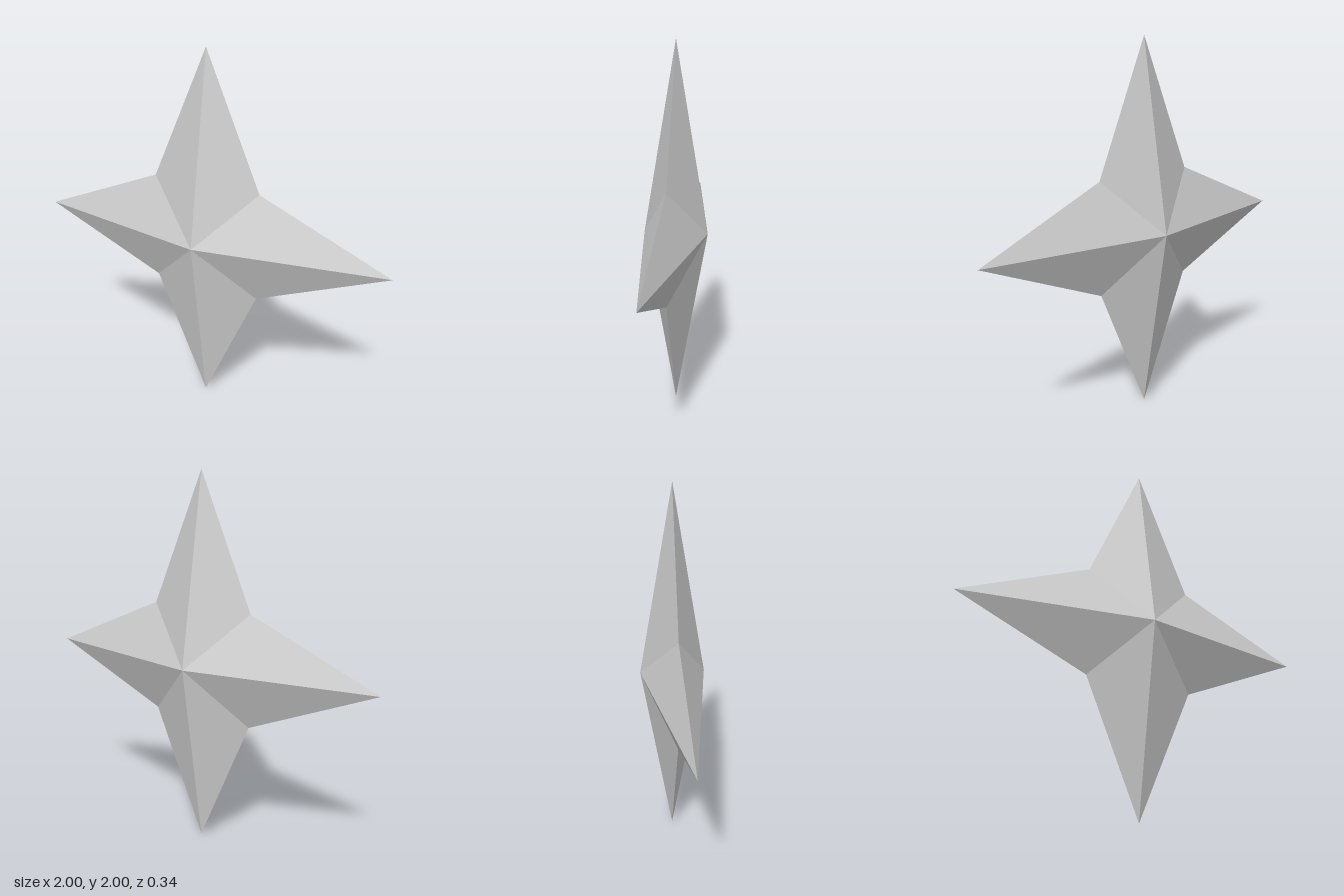
import * as THREE from 'three';

const TIP = 1;         // distance from centre to each spike tip
const NOTCH = 0.3;     // x and y offset of the notches between spikes
const HALF_DEPTH = 0.17;

// One faceted half: a fan from the raised centre to the star outline
function starHalf(side) {
  const rim = [];
  for (let i = 0; i < 8; i++) {
    const angle = (i * Math.PI) / 4;
    const radius = i % 2 ? NOTCH * Math.SQRT2 : TIP;
    rim.push([Math.cos(angle) * radius, Math.sin(angle) * radius, 0]);
  }
  const positions = [];
  rim.forEach((point, i) => {
    const next = rim[(i + 1) % rim.length];
    const edge = side > 0 ? [point, next] : [next, point];
    positions.push(0, 0, side * HALF_DEPTH, ...edge[0], ...edge[1]);
  });
  const geometry = new THREE.BufferGeometry();
  geometry.setAttribute('position', new THREE.Float32BufferAttribute(positions, 3));
  geometry.computeVertexNormals();
  return geometry;
}

export function createModel() {
  const model = new THREE.Group();
  model.name = 'fourPointedStar';

  const grey = new THREE.MeshStandardMaterial({ color: 0xcccccc });
  grey.name = 'lightGrey';

  // Mirrored front and back halves meet along the sharp outline
  for (const [name, side] of [['frontHalf', 1], ['backHalf', -1]]) {
    const half = new THREE.Mesh(starHalf(side), grey);
    half.name = name;
    half.position.y = TIP;
    model.add(half);
  }
  return model;
}
